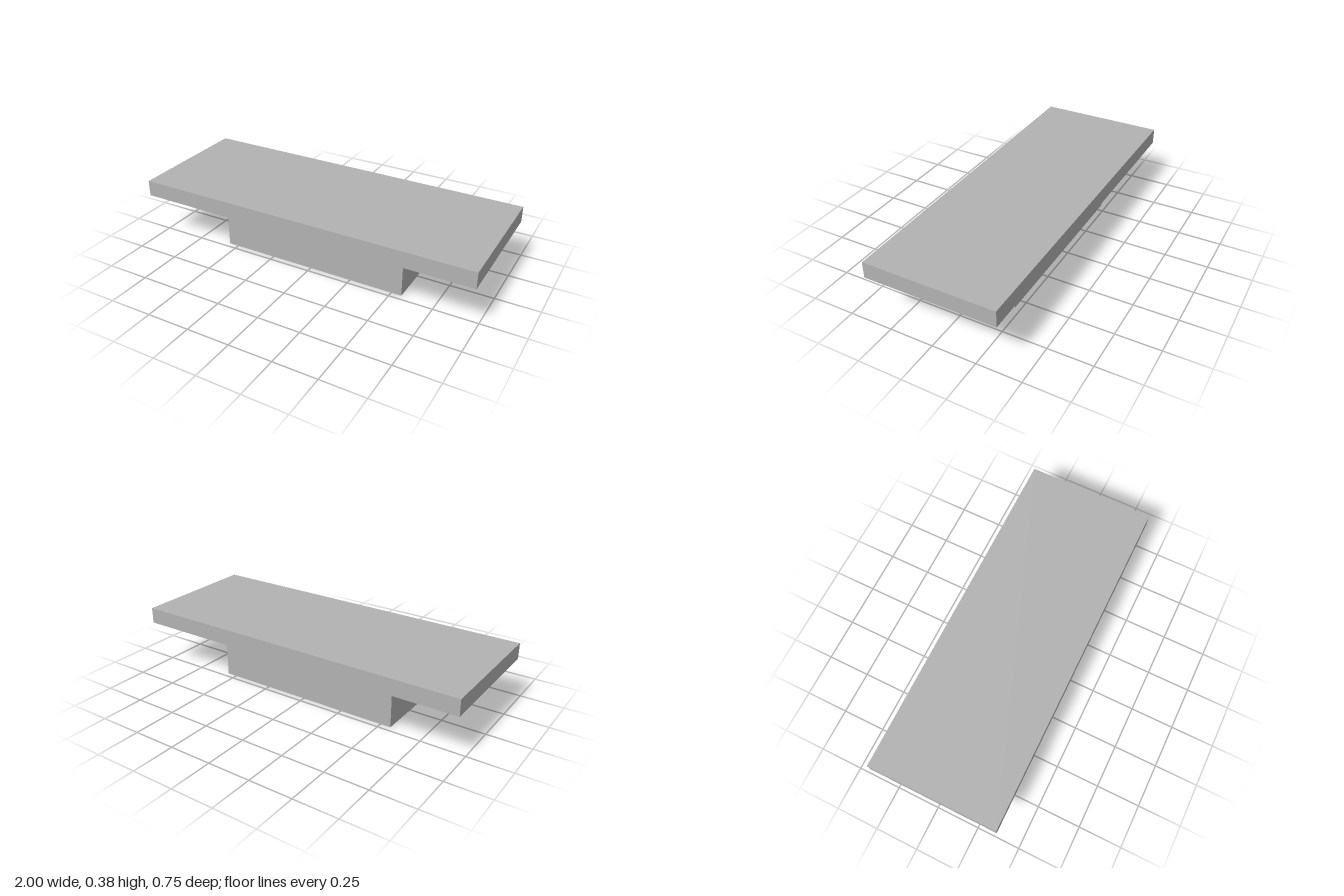
import * as THREE from 'three';

export function createModel() {
  const model = new THREE.Group();
  model.name = 'pedestalTable';

  const grey = new THREE.MeshStandardMaterial({ color: 0xb2b2b2 });
  grey.name = 'light grey';

  // Box spanning bottom to top, centred on x and z
  const addSlab = (name, width, depth, bottom, top) => {
    const mesh = new THREE.Mesh(new THREE.BoxGeometry(width, top - bottom, depth), grey);
    mesh.name = name;
    mesh.position.y = (bottom + top) / 2;
    model.add(mesh);
  };

  // Block base and overhanging top
  addSlab('base', 1.12, 0.435, 0, 0.283);
  addSlab('tableTop', 2, 0.747, 0.283, 0.376);

  return model;
}
